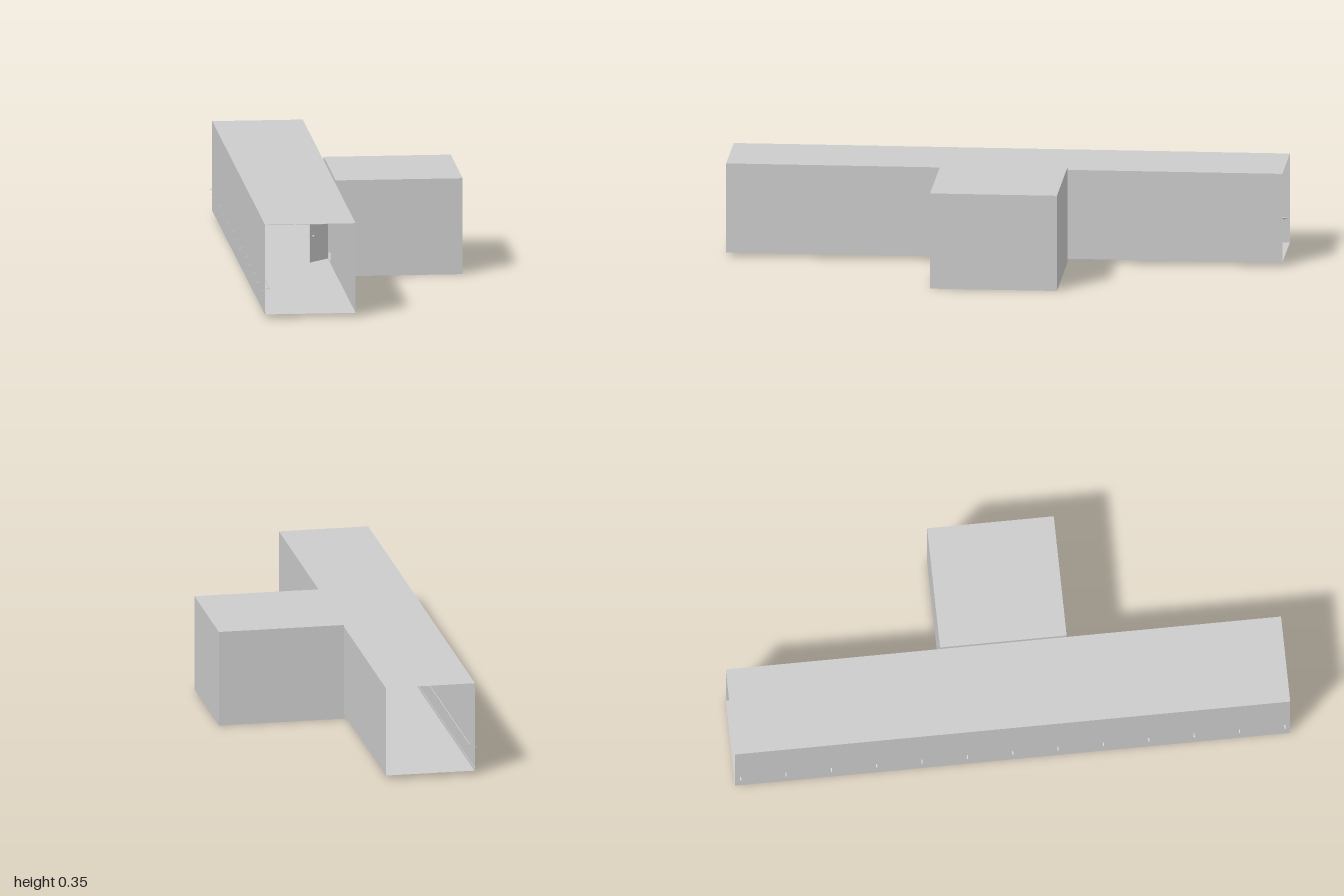
import * as THREE from 'three';

const grey = new THREE.MeshStandardMaterial({ color: 0xcccccc, side: THREE.DoubleSide, flatShading: true });
const smooth = new THREE.MeshStandardMaterial({ color: 0xcccccc });

// Corridor and room limits
const C = { x0: -0.388, x1: -0.062, y0: 0.013, y1: 0.34, z0: -1, z1: 1 };
const R = { x0: -0.06, x1: 0.397, y0: 0, y1: 0.35, z0: -0.228, z1: 0.228 };
const DOOR = { z: 0, width: 0.102, y0: 0.013, y1: 0.235 };

export function createModel() {
  const model = new THREE.Group();

  const add = (parent, name, geometry, x = 0, y = 0, z = 0, material = grey) => {
    const mesh = new THREE.Mesh(geometry, material);
    mesh.name = name;
    mesh.position.set(x, y, z);
    parent.add(mesh);
    return mesh;
  };
  const group = (name) => {
    const g = new THREE.Group();
    g.name = name;
    model.add(g);
    return g;
  };
  const rect = (T, a0, b0, a1, b1) => {
    const s = new T();
    s.moveTo(a0, b0);
    s.lineTo(a1, b0);
    s.lineTo(a1, b1);
    s.lineTo(a0, b1);
    s.closePath();
    return s;
  };

  // Thin wall across x, with an optional doorway
  const sideWall = (parent, name, b, x, doorway) => {
    const s = rect(THREE.Shape, b.z0, b.y0, b.z1, b.y1);
    if (doorway) {
      s.holes.push(rect(THREE.Path, DOOR.z - DOOR.width / 2, DOOR.y0 + 0.001, DOOR.z + DOOR.width / 2, DOOR.y1));
    }
    add(parent, name, new THREE.ShapeGeometry(s).rotateY(-Math.PI / 2), x);
  };
  const slab = (parent, name, b, y) => add(parent, name,
    new THREE.PlaneGeometry(b.x1 - b.x0, b.z1 - b.z0).rotateX(-Math.PI / 2),
    (b.x0 + b.x1) / 2, y, (b.z0 + b.z1) / 2);
  const endWall = (parent, name, b, z) => add(parent, name,
    new THREE.PlaneGeometry(b.x1 - b.x0, b.y1 - b.y0),
    (b.x0 + b.x1) / 2, (b.y0 + b.y1) / 2, z);

  // Corridor, open at both ends
  const corridor = group('corridor');
  slab(corridor, 'corridorFloor', C, C.y0);
  slab(corridor, 'corridorCeiling', C, C.y1);
  sideWall(corridor, 'corridorOuterWall', C, C.x0, false);
  sideWall(corridor, 'corridorRoomWall', C, C.x1, true);

  // Side room
  const room = group('room');
  slab(room, 'roomFloor', R, R.y0);
  slab(room, 'roomCeiling', R, R.y1);
  sideWall(room, 'roomDoorWall', R, R.x0, true);
  sideWall(room, 'roomFarWall', R, R.x1, false);
  endWall(room, 'roomFrontWall', R, R.z1);
  endWall(room, 'roomBackWall', R, R.z0);

  // Ceiling beams across the corridor
  const beams = group('ceilingBeams');
  for (let i = 0; i < 8; i++) {
    add(beams, 'ceilingBeam', new THREE.BoxGeometry(C.x1 - C.x0, 0.018, 0.018),
      (C.x0 + C.x1) / 2, 0.33, -0.9 + (i * 1.8) / 7);
  }

  // Handrail with slanted brackets passing through the outer wall
  const rail = group('handrail');
  add(rail, 'railBar', new THREE.CylinderGeometry(0.002, 0.002, 1.99, 8).rotateX(Math.PI / 2),
    -0.372, 0.107, 0, smooth);
  for (let i = 0; i < 13; i++) {
    const bracket = add(rail, 'railBracket', new THREE.BoxGeometry(0.031, 0.002, 0.004),
      -0.386, 0.1, -0.98 + (i * 1.96) / 12);
    bracket.rotation.z = Math.atan2(0.014, 0.028);
  }

  // Skirting along the outer wall
  add(corridor, 'skirting', new THREE.BoxGeometry(0.002, 0.009, 2), C.x0 + 0.001, 0.0175, 0);

  // Door standing half open into the corridor, with a small window
  const door = group('door');
  door.position.set(C.x1, DOOR.y0, DOOR.z - DOOR.width / 2);
  door.rotation.y = -Math.PI * 3 / 4;
  const leaf = rect(THREE.Shape, 0, 0, DOOR.width, DOOR.y1 - DOOR.y0);
  leaf.holes.push(rect(THREE.Path, 0.026, 0.161, 0.064, 0.173));
  add(door, 'doorLeaf', new THREE.ExtrudeGeometry(leaf, { depth: 0.003, bevelEnabled: false }), 0, 0, -0.0015);
  for (const side of [-1, 1]) {
    add(door, 'doorKnobStem', new THREE.CylinderGeometry(0.0015, 0.0015, 0.005, 8).rotateX(Math.PI / 2),
      0.09, 0.095, side * 0.004, smooth);
    add(door, 'doorKnob', new THREE.SphereGeometry(0.004, 12, 8), 0.09, 0.095, side * 0.008, smooth);
  }

  return model;
}
